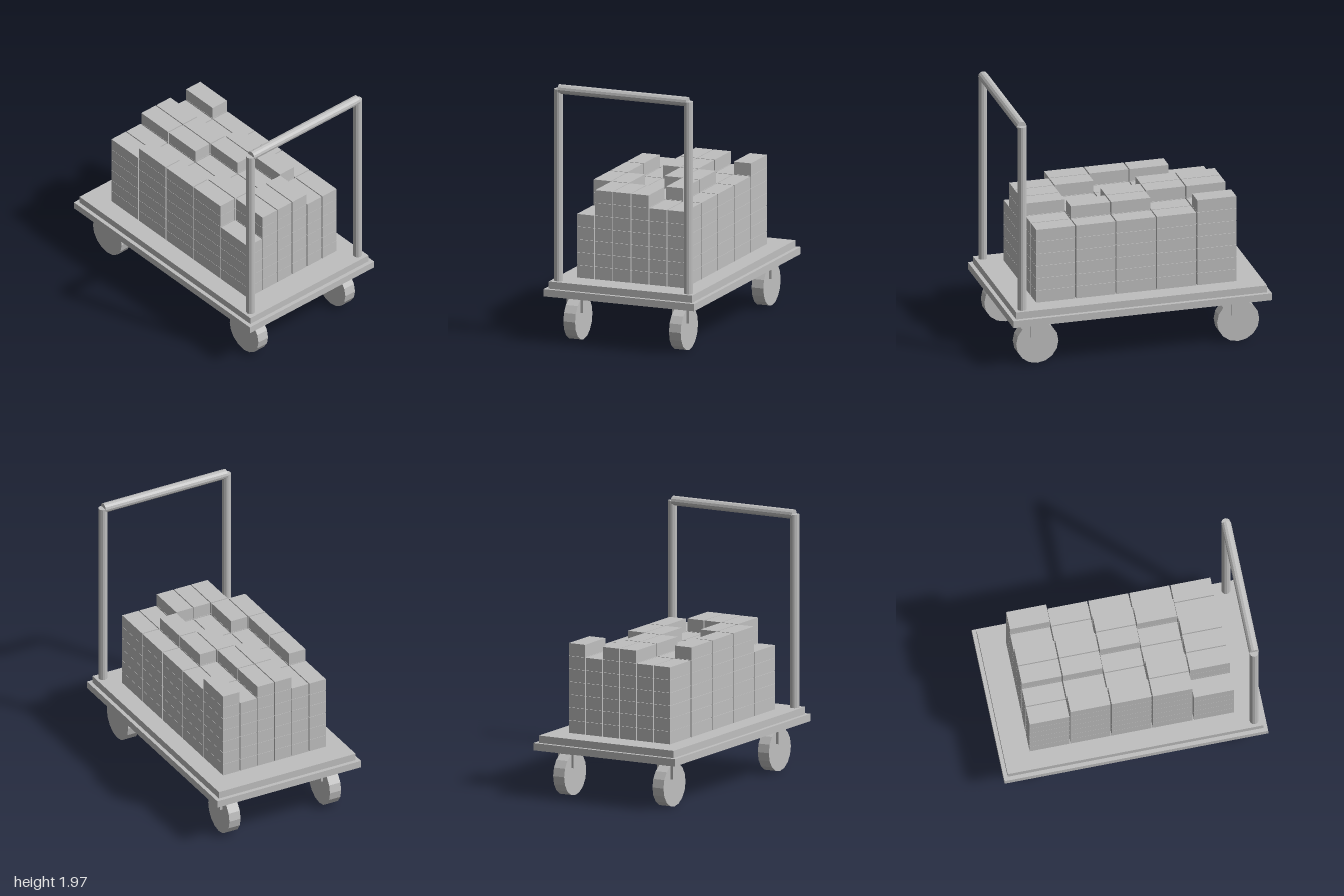
import * as THREE from 'three';

export function createModel() {
  const model = new THREE.Group();
  model.name = 'loadedPlatformTrolley';
  const grey = new THREE.MeshStandardMaterial({ color: 0xbfbfbf, flatShading: true });
  grey.name = 'plain grey';

  const add = (parent, name, geometry, x, y, z) => {
    const mesh = new THREE.Mesh(geometry, grey);
    mesh.name = name;
    mesh.position.set(x, y, z);
    parent.add(mesh);
    return mesh;
  };

  // Stepped platform
  add(model, 'platformBase', new THREE.BoxGeometry(1.22, 0.055, 2), 0, 0.3825, 0);
  add(model, 'platformDeck', new THREE.BoxGeometry(1.16, 0.055, 1.94), 0, 0.4375, 0);

  // Four castors: a wheel held by a block
  const wheel = new THREE.CylinderGeometry(0.163, 0.163, 0.095, 16).rotateZ(Math.PI / 2);
  const bracket = new THREE.BoxGeometry(0.135, 0.14, 0.115);
  for (const x of [-0.427, 0.427]) {
    for (const z of [-0.777, 0.777]) {
      const castor = new THREE.Group();
      castor.name = 'castor';
      castor.position.set(x, 0, z);
      add(castor, 'wheel', wheel, 0, 0.163, 0);
      add(castor, 'bracket', bracket, 0, 0.285, 0);
      model.add(castor);
    }
  }

  // Push handle at the front: two posts and a crossbar
  const post = new THREE.CylinderGeometry(0.034, 0.034, 1.465, 12);
  for (const x of [-0.525, 0.525]) add(model, 'handlePost', post, x, 1.1975, 0.91);
  const bar = new THREE.CylinderGeometry(0.037, 0.037, 1.04, 12).rotateZ(Math.PI / 2);
  add(model, 'handleBar', bar, 0, 1.928, 0.91);

  // Stacked bricks: layers per column, from the front row to the back row, -x to +x
  const layers = [
    [5, 7, 7, 7, 6, 6],
    [7, 7, 6, 6, 7, 6],
    [7, 6, 6, 7, 7, 6],
    [7, 6, 7, 7, 6, 6],
    [6, 6, 7, 7, 6, 7],
  ];
  const brick = new THREE.BoxGeometry(0.139, 0.0955, 0.302);
  const load = new THREE.Group();
  load.name = 'brickLoad';
  model.add(load);
  layers.forEach((row, r) => row.forEach((count, c) => {
    for (let k = 0; k < count; k++) {
      add(load, 'brick', brick, (c - 2.5) * 0.1465, 0.465 + (k + 0.5) * 0.0975, (2 - r) * 0.3115);
    }
  }));

  return model;
}
